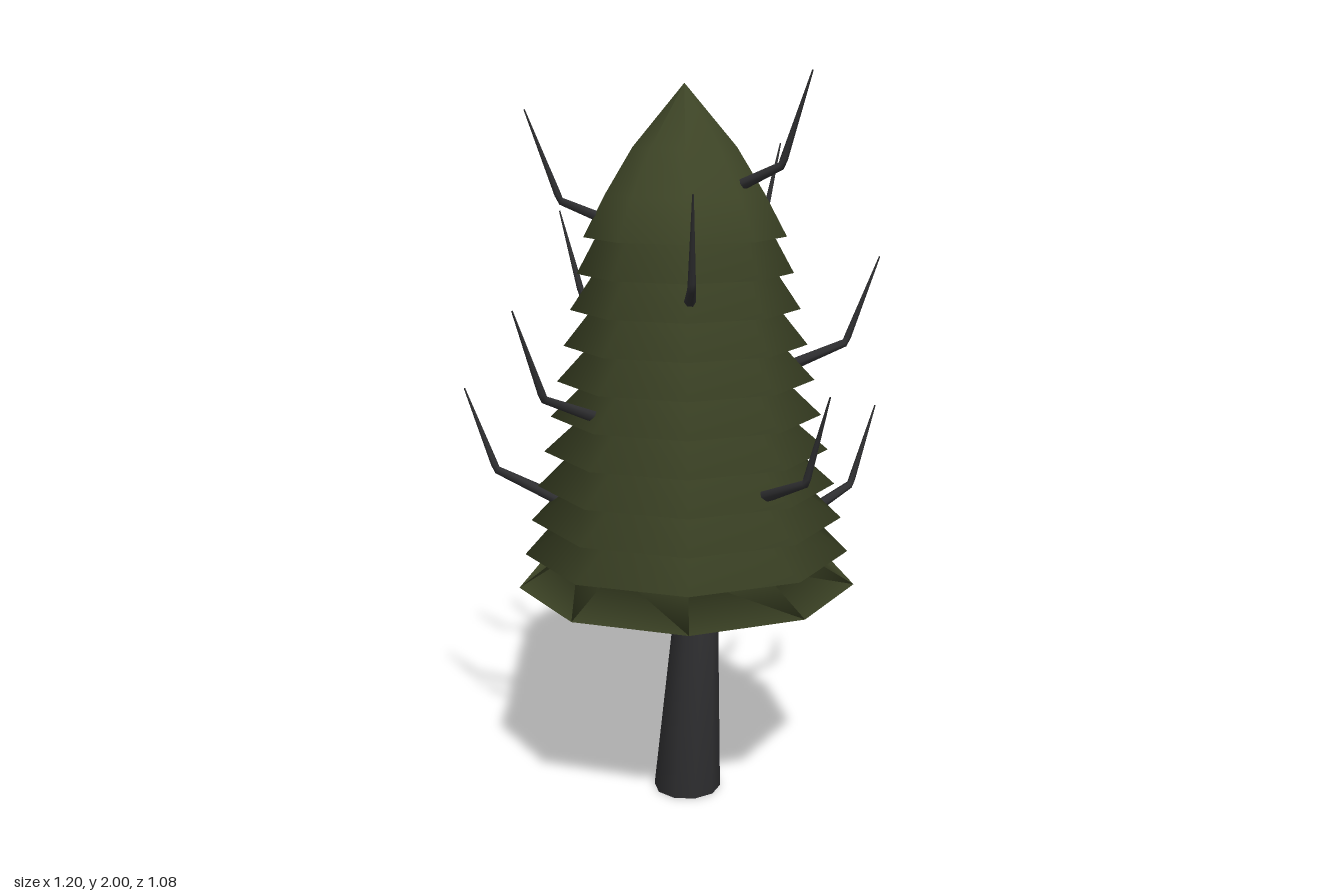
import * as THREE from 'three';

const foliageMat = new THREE.MeshStandardMaterial({ color: 0x3d4426 });
foliageMat.name = 'dark olive foliage';
const barkMat = new THREE.MeshStandardMaterial({ color: 0x2f2f31 });
barkMat.name = 'charcoal bark';

const AXIS_X = -0.055, AXIS_Z = -0.063;

// Lofted limb through [x, y, z, radius] stations; horizontal rings if flat is set
function limb(stations, sides, flat) {
  const pts = stations.map(s => new THREE.Vector3(s[0], s[1], s[2]));
  const pos = [], idx = [];
  const last = pts.length - 1;
  const out = pts[last].clone().sub(pts[0]);
  const side = flat ? new THREE.Vector3(1, 0, 0)
    : new THREE.Vector3(out.z, 0, -out.x).normalize();
  pts.forEach((p, i) => {
    const dir = flat ? new THREE.Vector3(0, 1, 0)
      : pts[Math.min(i + 1, last)].clone().sub(pts[Math.max(i - 1, 0)]).normalize();
    const other = dir.clone().cross(side).normalize();
    for (let k = 0; k < sides; k++) {
      const a = k / sides * Math.PI * 2, r = stations[i][3];
      const v = p.clone().addScaledVector(side, r * Math.cos(a)).addScaledVector(other, r * Math.sin(a));
      pos.push(v.x, v.y, v.z);
    }
  });
  for (let i = 0; i < last; i++) {
    for (let k = 0; k < sides; k++) {
      const a = i * sides + k, b = i * sides + (k + 1) % sides;
      idx.push(a, b, b + sides, a, b + sides, a + sides);
    }
  }
  // end caps
  const top = last * sides;
  for (let k = 1; k < sides - 1; k++) {
    idx.push(0, k + 1, k, top, top + k, top + k + 1);
  }
  const g = new THREE.BufferGeometry();
  g.setAttribute('position', new THREE.Float32BufferAttribute(pos, 3));
  g.setIndex(idx);
  g.computeVertexNormals();
  return g;
}

export function createModel() {
  const tree = new THREE.Group();
  tree.name = 'tree';
  const add = (geometry, material, name) => {
    const mesh = new THREE.Mesh(geometry, material);
    mesh.name = name;
    tree.add(mesh);
    return mesh;
  };

  // Trunk with a slight bend just below the foliage
  add(limb([
    [-0.058, 0, -0.06, 0.095],
    [-0.026, 0.53, -0.06, 0.062],
    [-0.036, 0.64, -0.06, 0.055],
    [-0.05, 0.9, -0.06, 0.04],
  ], 10, true), barkMat, 'trunk');

  // Stepped nine-sided foliage: overhanging tiers below a pointed cap
  const tiers = 11, y0 = 0.63, step = 0.095;
  const profile = [new THREE.Vector2(0, y0)];
  for (let i = 0; i < tiers; i++) {
    const r = 0.466 - 0.0195 * i, y = y0 + step * i;
    profile.push(new THREE.Vector2(r, y));
    if (i < tiers - 1) {
      profile.push(new THREE.Vector2(r - 0.165 + 0.0125 * i, y + step));
    }
  }
  for (const [r, y] of [[0.212, 1.69], [0.138, 1.81], [0, 1.972]]) {
    profile.push(new THREE.Vector2(r, y));
  }
  const foliage = add(new THREE.LatheGeometry(profile, 9, Math.PI / 2), foliageMat, 'foliage');
  foliage.position.set(AXIS_X, 0, AXIS_Z);

  // Bare branches: each comes out radially, then bends sharply up to its tip
  const tips = [
    [0.10, 2.0, 0.29], [-0.44, 1.905, -0.215], [0.352, 1.81, -0.215],
    [-0.275, 1.715, 0.345], [-0.19, 1.62, -0.54], [0.38, 1.525, 0.215],
    [-0.60, 1.43, -0.03 + 0.0], [0.29, 1.335, -0.52], [-0.01, 1.24, 0.535],
    [-0.522, 1.145, -0.49], [0.597, 1.05, -0.063],
  ];
  tips[6][2] = 0.03;
  tips.forEach(([x, y, z], i) => {
    const dx = x - AXIS_X, dz = z - AXIS_Z, d = Math.hypot(dx, dz);
    const at = (back, drop, r) => [x - dx / d * back, y - drop, z - dz / d * back, r];
    add(limb([
      at(0.33, 0.335, 0.02),
      at(0.088, 0.232, 0.011),
      at(0.08, 0.215, 0.01),
      at(0, 0, 0.002),
    ], 6, false), barkMat, `branch${i + 1}`);
  });

  return tree;
}
